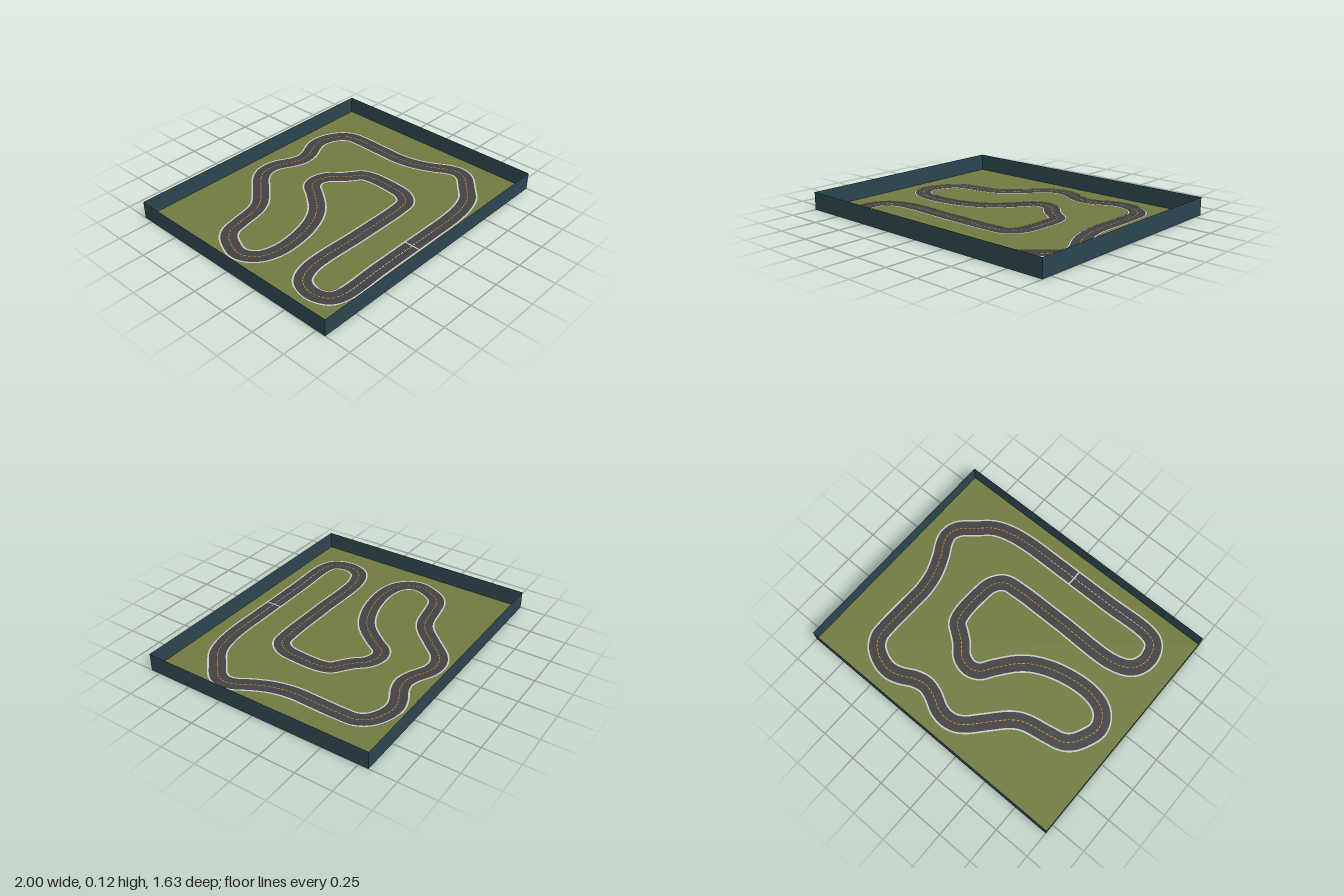
import * as THREE from 'three';

const HALF_X = 1, HALF_Z = 0.817, WALL_H = 0.123;

// Centre line of the circuit, as x, z pairs
const PATH = [
  -0.05, 0.656, -0.35, 0.656, -0.69, 0.656, -0.765, 0.618, -0.80, 0.51, -0.76, 0.40, -0.64, 0.342,
  -0.18, 0.338, 0.19, 0.335, 0.295, 0.318, 0.355, 0.245, 0.372, 0.135, 0.372, -0.045, 0.35, -0.115,
  0.285, -0.167, 0.235, -0.206, 0.165, -0.28, 0.08, -0.307, 0.01, -0.283, -0.05, -0.20, -0.15, -0.078,
  -0.235, -0.013, -0.37, 0.045, -0.53, 0.077, -0.66, 0.077, -0.76, 0.045, -0.818, -0.013, -0.84, -0.088,
  -0.815, -0.174, -0.77, -0.254, -0.715, -0.297, -0.61, -0.323, -0.45, -0.355, -0.37, -0.398,
  -0.26, -0.51, -0.16, -0.617, -0.105, -0.652, -0.04, -0.666, 0.035, -0.654, 0.14, -0.602,
  0.22, -0.582, 0.30, -0.598, 0.395, -0.645, 0.47, -0.664, 0.555, -0.65, 0.645, -0.60,
  0.69, -0.53, 0.698, -0.44, 0.695, -0.24, 0.693, -0.08, 0.717, 0.056, 0.77, 0.185,
  0.823, 0.28, 0.84, 0.35, 0.818, 0.42, 0.717, 0.516, 0.62, 0.595, 0.51, 0.634, 0.35, 0.654, 0.15, 0.656,
];

const paint = (name, color, side = THREE.FrontSide) => {
  const m = new THREE.MeshStandardMaterial({ color, side });
  m.name = name;
  return m;
};

const points = [];
for (let i = 0; i < PATH.length; i += 2) points.push(new THREE.Vector3(PATH[i], 0, PATH[i + 1]));
const track = new THREE.CatmullRomCurve3(points, true, 'centripetal');
track.arcLengthDivisions = 1500;

// Flat upward strips along the track; each span is [start, end, steps]
function ribbon(spans, inner, outer, y) {
  const pos = [], index = [];
  for (const [a, b, steps] of spans) {
    const base = pos.length / 3;
    for (let i = 0; i <= steps; i++) {
      const u = (a + ((b - a) * i) / steps) % 1;
      const p = track.getPointAt(u), t = track.getTangentAt(u);
      for (const d of [inner, outer]) pos.push(p.x - t.z * d, y, p.z + t.x * d);
      if (i < steps) {
        const l = base + i * 2;
        index.push(l + 1, l + 3, l, l + 3, l + 2, l);
      }
    }
  }
  const g = new THREE.BufferGeometry();
  g.setAttribute('position', new THREE.Float32BufferAttribute(pos, 3));
  g.setIndex(index);
  g.computeVertexNormals();
  return g;
}

export function createModel() {
  const group = new THREE.Group();
  const grass = paint('grass green', 0x727b3f, THREE.DoubleSide);
  const wall = paint('wall slate', 0x2c464f, THREE.DoubleSide);
  const asphalt = paint('asphalt grey', 0x424144);
  const white = paint('line white', 0xcbcbc6);
  const orange = paint('dash orange', 0xe0930f);
  const add = (name, geometry, material) => {
    const mesh = new THREE.Mesh(geometry, material);
    mesh.name = name;
    group.add(mesh);
    return mesh;
  };

  // Ground sheet
  add('ground', new THREE.PlaneGeometry(2 * HALF_X, 2 * HALF_Z).rotateX(-Math.PI / 2), grass);

  // Four thin boundary walls
  for (const s of [1, -1]) {
    const turn = s > 0 ? 0 : Math.PI;
    add(s > 0 ? 'frontWall' : 'backWall', new THREE.PlaneGeometry(2 * HALF_X, WALL_H)
      .rotateY(turn).translate(0, WALL_H / 2, s * HALF_Z), wall);
    add(s > 0 ? 'leftWall' : 'rightWall', new THREE.PlaneGeometry(2 * HALF_Z, WALL_H)
      .rotateY(s * Math.PI / 2).translate(s * HALF_X, WALL_H / 2, 0), wall);
  }

  // Road surface with an edge line on either side
  const lap = [[0, 1, 500]];
  add('road', ribbon(lap, -0.056, 0.056, 0.003), asphalt);
  add('innerEdgeLine', ribbon(lap, -0.065, -0.054, 0.005), white);
  add('outerEdgeLine', ribbon(lap, 0.054, 0.065, 0.005), white);

  // Centre dashes: white along the start straight, orange elsewhere
  const count = Math.round(track.getLength() / 0.03);
  const whiteDashes = [], orangeDashes = [];
  for (let i = 0; i < count; i++) {
    const a = i / count, p = track.getPointAt(a);
    const onStraight = p.z > 0.645 && p.x > -0.67 && p.x < 0.17;
    (onStraight ? whiteDashes : orangeDashes).push([a, a + 0.65 / count, 2]);
  }
  add('straightDashes', ribbon(whiteDashes, -0.0025, 0.0025, 0.005), white);
  add('centreDashes', ribbon(orangeDashes, -0.0025, 0.0025, 0.005), orange);

  // Start line across the road
  add('startLine', new THREE.PlaneGeometry(0.01, 0.11).rotateX(-Math.PI / 2)
    .translate(-0.05, 0.006, 0.656), white);

  return group;
}
